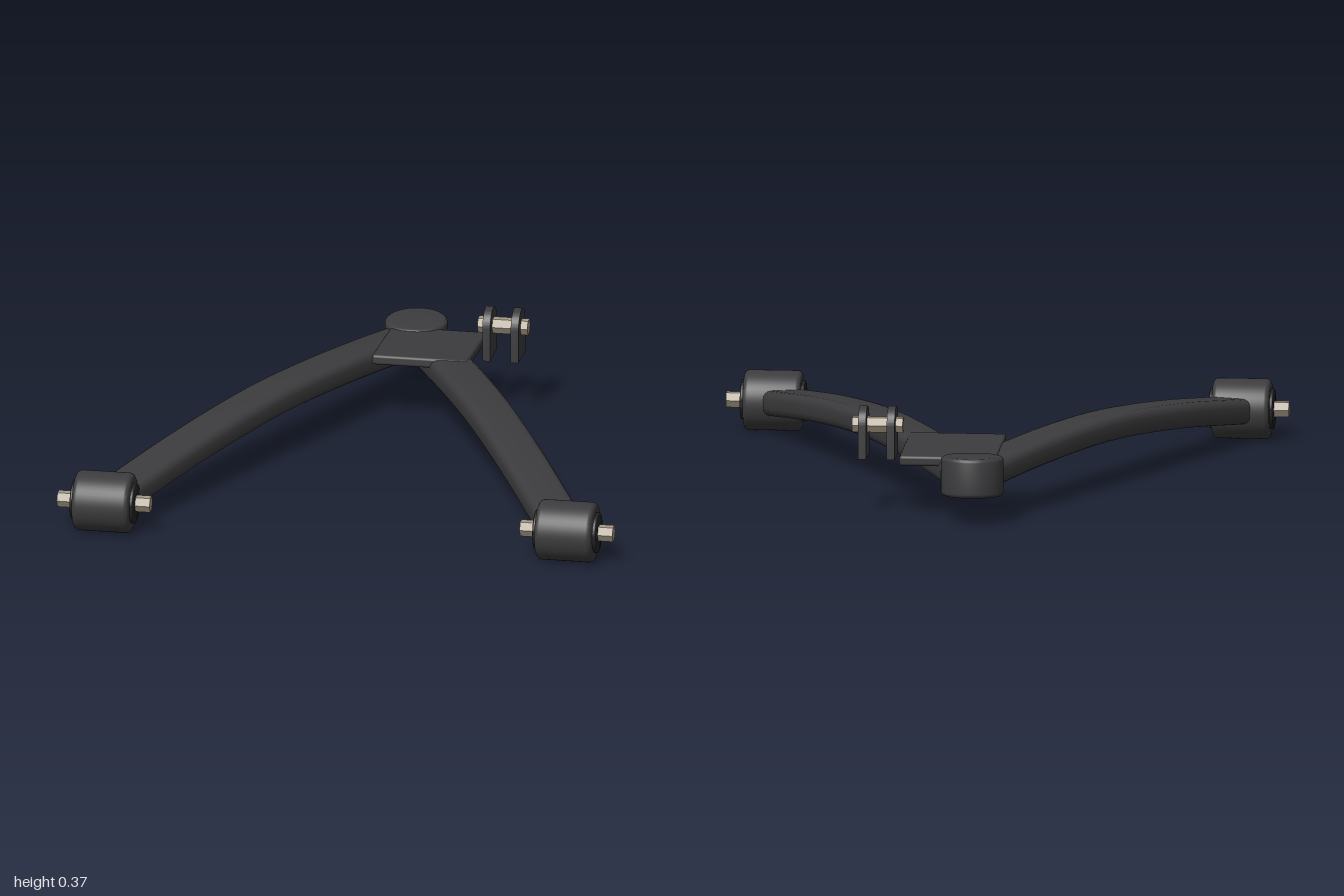
import * as THREE from 'three';
import { toCreasedNormals } from 'three/addons/utils/BufferGeometryUtils.js';
import { RoundedBoxGeometry } from 'three/addons/geometries/RoundedBoxGeometry.js';

const dark = new THREE.MeshStandardMaterial({ color: 0x3c3c3e });
const rubber = new THREE.MeshStandardMaterial({ color: 0x222224 });
const steel = new THREE.MeshStandardMaterial({ color: 0xa89c88 });

function add(parent, name, geometry, material, x = 0, y = 0, z = 0) {
  const mesh = new THREE.Mesh(geometry, material);
  mesh.name = name;
  mesh.position.set(x, y, z);
  parent.add(mesh);
  return mesh;
}

// Solid cylinder with rounded rims, along y
function roundedCylinder(radius, length, bevel) {
  const h = length / 2, points = [new THREE.Vector2(0, -h)];
  for (const [cy, start] of [[-h + bevel, -Math.PI / 2], [h - bevel, 0]]) {
    for (let i = 0; i <= 4; i++) {
      const a = start + (i / 4) * Math.PI / 2;
      points.push(new THREE.Vector2(radius - bevel + Math.cos(a) * bevel, cy + Math.sin(a) * bevel));
    }
  }
  points.push(new THREE.Vector2(0, h));
  return toCreasedNormals(new THREE.LatheGeometry(points, 48), 0.6);
}

// Hexagonal bar along x
function hexBar(length) {
  const g = new THREE.CylinderGeometry(0.03, 0.03, length, 6);
  return toCreasedNormals(g.rotateZ(Math.PI / 2), 0.4);
}

// Rounded rectangular bar swept along a curve, kept upright
function sweptBar(curve, width, height, corner, steps) {
  const section = [];
  for (let q = 0; q < 4; q++) {
    const sx = q === 0 || q === 3 ? 1 : -1, sy = q < 2 ? 1 : -1;
    for (let i = 0; i <= 4; i++) {
      const a = (q + i / 4) * Math.PI / 2;
      section.push([
        sx * (width / 2 - corner) + Math.cos(a) * corner,
        sy * (height / 2 - corner) + Math.sin(a) * corner,
      ]);
    }
  }
  const n = section.length, positions = [], index = [];
  const worldUp = new THREE.Vector3(0, 1, 0);
  for (let s = 0; s <= steps; s++) {
    const p = curve.getPoint(s / steps), t = curve.getTangent(s / steps);
    const side = new THREE.Vector3().crossVectors(worldUp, t).normalize();
    const up = new THREE.Vector3().crossVectors(t, side);
    for (const [u, v] of section) {
      positions.push(...p.clone().addScaledVector(side, u).addScaledVector(up, v).toArray());
    }
  }
  for (let s = 0; s < steps; s++) {
    for (let i = 0; i < n; i++) {
      const a = s * n + i, b = s * n + (i + 1) % n;
      index.push(a, b, b + n, a, b + n, a + n);
    }
  }
  for (let i = 1; i < n - 1; i++) {
    const e = steps * n;
    index.push(0, i + 1, i, e, e + i, e + i + 1);
  }
  const g = new THREE.BufferGeometry();
  g.setAttribute('position', new THREE.Float32BufferAttribute(positions, 3));
  g.setIndex(index);
  return toCreasedNormals(g, 0.6);
}

export function createModel() {
  const model = new THREE.Group();
  model.name = 'controlArm';

  // Arched arms converging on the joint housing
  const heights = [[0.81, 0.112], [0.4, 0.167], [0, 0.2], [-0.3, 0.201], [-0.6, 0.187], [-0.84, 0.168]];
  for (const [name, x0, x1] of [['rightArm', -0.8, -0.06], ['leftArm', 0.79, -0.02]]) {
    const points = heights.map(([z, y]) =>
      new THREE.Vector3(x0 + (x1 - x0) * (0.81 - z) / 1.65, y, z));
    add(model, name, sweptBar(new THREE.CatmullRomCurve3(points), 0.16, 0.09, 0.03, 32), dark);
  }

  // Bushings with rubber cores and through bolts
  for (const s of [-1, 1]) {
    const bushing = new THREE.Group();
    bushing.name = s < 0 ? 'rightBushing' : 'leftBushing';
    bushing.position.set(s * 0.833, 0.108, 0.876);
    add(bushing, 'sleeve', roundedCylinder(0.107, 0.205, 0.018), dark).rotation.z = Math.PI / 2;
    add(bushing, 'core', roundedCylinder(0.072, 0.228, 0.005), rubber).rotation.z = Math.PI / 2;
    add(bushing, 'bolt', hexBar(0.334), steel);
    model.add(bushing);
  }

  // Joint housing at the apex
  add(model, 'jointHousing', roundedCylinder(0.111, 0.14, 0.014), dark, -0.045, 0.168, -0.876).rotation.x = 0.06;

  // Gusset plate over the arms
  add(model, 'gussetPlate', new RoundedBoxGeometry(0.345, 0.036, 0.375, 2, 0.01), dark, 0.048, 0.216, -0.633).rotation.x = -0.055;

  // Clevis: two lugs and a cross bolt
  const clevis = new THREE.Group();
  clevis.name = 'clevis';
  clevis.position.set(0.31, 0.308, -0.665);
  const outline = new THREE.Shape();
  outline.moveTo(-0.066, -0.115);
  outline.lineTo(0.066, -0.115);
  outline.lineTo(0.066, 0);
  outline.absarc(0, 0, 0.066, 0, Math.PI, false);
  outline.closePath();
  const hole = new THREE.Path();
  hole.absarc(0, 0, 0.027, 0, Math.PI * 2, true);
  outline.holes.push(hole);
  const lug = new THREE.ExtrudeGeometry(outline, { depth: 0.028, bevelEnabled: false, curveSegments: 20 });
  lug.translate(0, 0, -0.014).rotateY(Math.PI / 2);
  const lugGeometry = toCreasedNormals(lug, 0.6);
  for (const s of [-1, 1]) add(clevis, s < 0 ? 'innerLug' : 'outerLug', lugGeometry, dark, s * 0.051);
  add(clevis, 'crossBolt', hexBar(0.18), steel);
  model.add(clevis);

  return model;
}
